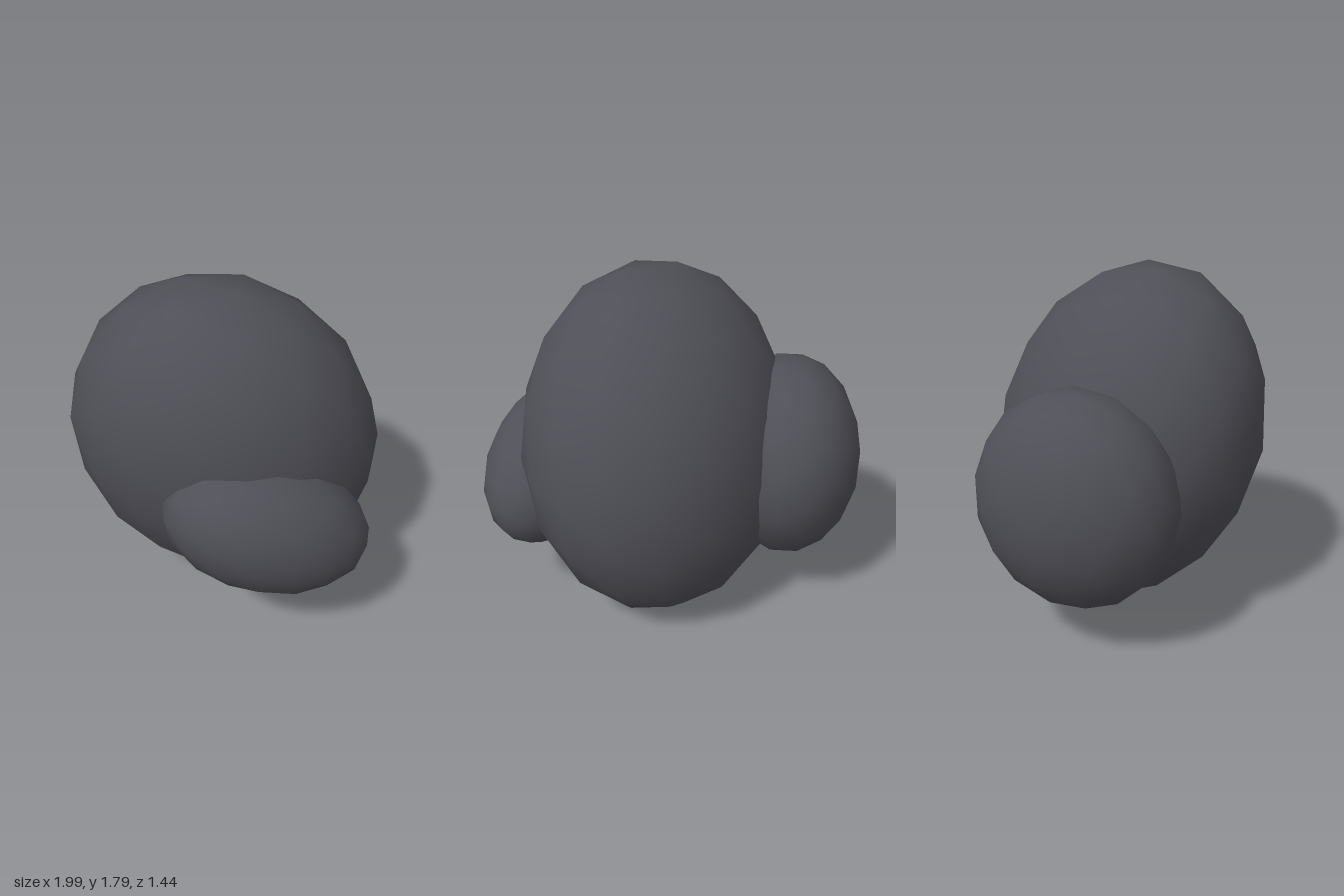
import * as THREE from 'three';

const stone = new THREE.MeshStandardMaterial({ color: 0x4f4f57 });
stone.name = 'dark stone grey';

// Tilted ellipsoid: half = extents along the axes, and the lean terms
// (xy, xz, yz) say how the axes mix, as in a covariance matrix.
function lump(name, centre, half, [xy, xz, yz]) {
  const [hx, hy, hz] = half.map((h) => h * 1.01);
  // triangular factor that maps the unit sphere onto the ellipsoid
  const a = hx;
  const b = xy / a;
  const c = Math.sqrt(hy * hy - b * b);
  const d = xz / a;
  const e = (yz - b * d) / c;
  const f = Math.sqrt(hz * hz - d * d - e * e);
  const geometry = new THREE.IcosahedronGeometry(1, 2);
  geometry.applyMatrix4(new THREE.Matrix4().set(
    a, 0, 0, centre[0],
    b, c, 0, centre[1],
    d, e, f, centre[2],
    0, 0, 0, 1));
  const mesh = new THREE.Mesh(geometry, stone);
  mesh.name = name;
  return mesh;
}

export function createModel() {
  const group = new THREE.Group();
  group.name = 'lumpyRock';
  group.add(
    // large upright body leaning forward
    lump('mainBody', [0.065, 0.905, 0], [0.755, 0.905, 0.72], [0, -0.1, 0.118]),
    // small lump on the front left
    lump('frontLeftLump', [0.573, 0.73, 0.285], [0.43, 0.39, 0.44], [-0.035, -0.079, 0.045]),
    // taller lump on the back right
    lump('backRightLump', [-0.59, 0.785, -0.21], [0.41, 0.545, 0.5], [0, -0.043, 0]),
  );
  return group;
}
